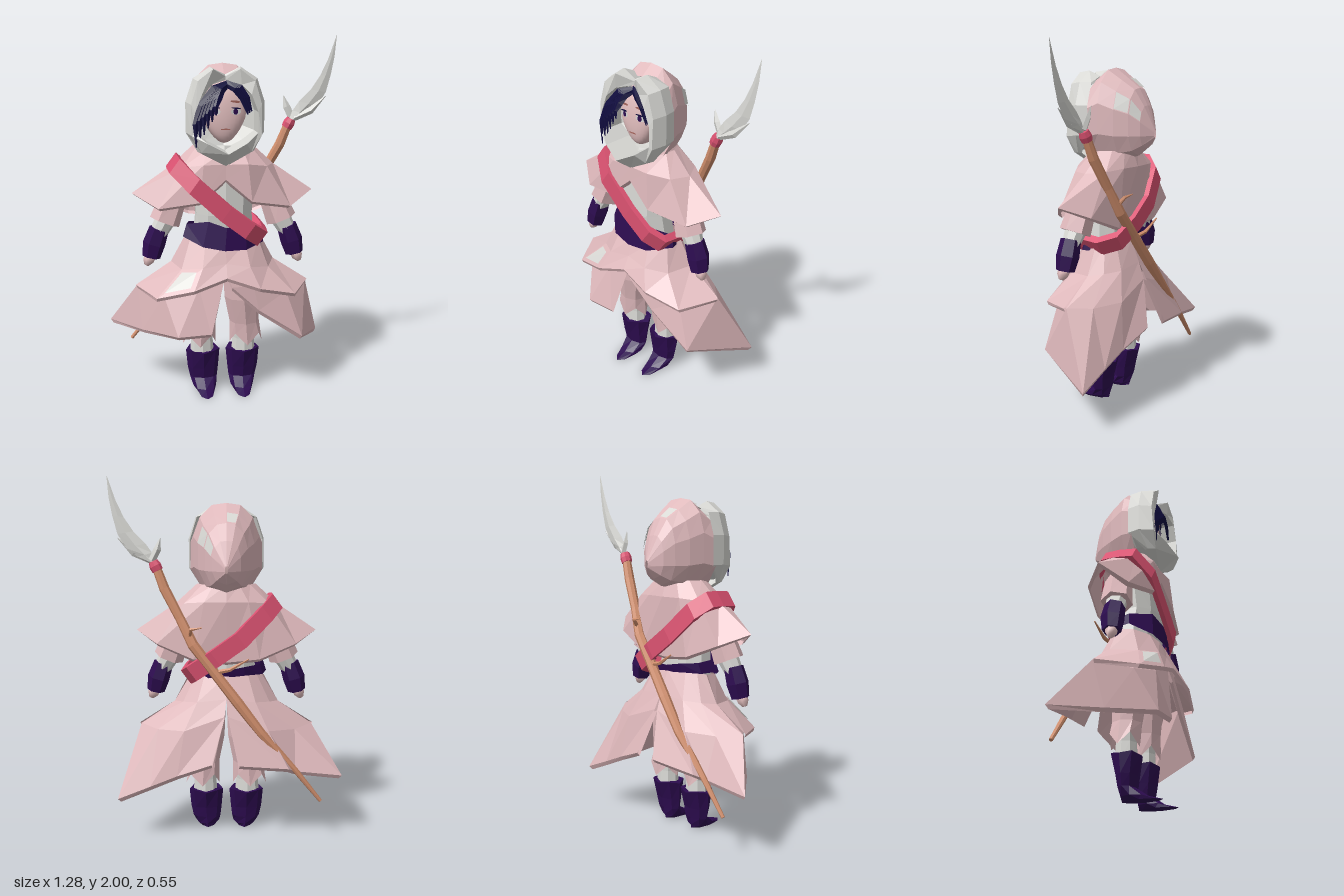
import * as THREE from 'three';

const V = (a) => new THREE.Vector3(...a);
const mat = (name, color, flatShading = true) => {
  const m = new THREE.MeshStandardMaterial({ color, flatShading, side: THREE.DoubleSide });
  m.name = name;
  return m;
};

// Surface through rows of points; closed joins each row end to start, cap fills both ends
function loft(rows, { closed = true, cap = false } = {}) {
  const n = rows[0].length, pos = rows.flat(2), idx = [];
  for (let i = 0; i < rows.length - 1; i++)
    for (let j = 0; j < (closed ? n : n - 1); j++) {
      const a = i * n + j, b = i * n + (j + 1) % n;
      idx.push(a, b, a + n, b, b + n, a + n);
    }
  if (cap) for (let j = 1; j < n - 1; j++) {
    const e = (rows.length - 1) * n;
    idx.push(0, j + 1, j, e, e + j, e + j + 1);
  }
  const g = new THREE.BufferGeometry();
  g.setAttribute('position', new THREE.Float32BufferAttribute(pos, 3));
  g.setIndex(idx);
  g.computeVertexNormals();
  return g;
}

// Mirroring: a half row, a full ring, and an open row from side to side
const flip = (r) => r.map(([x, y, z]) => [-x, y, z]);
const both = (half) => [...half, ...flip(half.slice(1, -1)).reverse()];
const across = (half) => [...flip(half.slice(1)).reverse(), ...half];

const ellipse = (cx, y, cz, rx, rz, n = 8, jag = 0) => Array.from({ length: n }, (_, i) => {
  const a = (i / n) * Math.PI * 2;
  return [cx + rx * Math.sin(a), y + (i % 2) * jag, cz + rz * Math.cos(a)];
});

// Tapered limb along points [x, y, z, radius]
function limb(pts, n = 6, flat = 1) {
  const rows = pts.map((p, i) => {
    const a = V(pts[Math.max(0, i - 1)].slice(0, 3)), b = V(pts[Math.min(pts.length - 1, i + 1)].slice(0, 3));
    const t = b.sub(a).normalize(), s = t.clone().cross(V([0, 0, 1])).normalize(), u = s.clone().cross(t);
    return Array.from({ length: n }, (_, k) => {
      const w = (k / n) * Math.PI * 2;
      return V(p.slice(0, 3)).addScaledVector(s, p[3] * Math.cos(w))
        .addScaledVector(u, p[3] * flat * Math.sin(w)).toArray();
    });
  });
  return loft(rows, { cap: true });
}

// Thin plate just above one cell of a loft
function plate(rows, i, j, inset) {
  const n = rows[0].length, k = (j + 1) % n;
  const c = [rows[i][j], rows[i][k], rows[i + 1][k], rows[i + 1][j]].map(V);
  const mid = c.reduce((s, p) => s.add(p), new THREE.Vector3()).multiplyScalar(0.25);
  const nor = c[2].clone().sub(c[0]).cross(c[3].clone().sub(c[1])).normalize();
  if (nor.x * mid.x + nor.z * mid.z < 0) nor.negate();
  const q = c.map((p) => p.lerp(mid, inset).addScaledVector(nor, 0.008).toArray());
  return loft([[q[0], q[1]], [q[3], q[2]]], { closed: false });
}

export function createModel() {
  const root = new THREE.Group();
  const pink = mat('dusty pink cloth', 0xdfb9bc), white = mat('off white', 0xd9d9d5);
  const purple = mat('deep purple leather', 0x2d0c50), red = mat('rose strap', 0xdb5271);
  const wood = mat('wood', 0xd08e6c), hair = mat('midnight hair', 0x0f0b3e);
  const skin = mat('skin', 0xeec8c8, false), lip = mat('brown line', 0xa8685f);
  const add = (name, geo, m) => {
    const o = new THREE.Mesh(geo, m);
    o.name = name;
    root.add(o);
  };

  // Legs, boots and arms
  for (const s of [1, -1]) {
    const side = s > 0 ? 'left' : 'right';
    add(side + 'Boot', loft([
      ellipse(s * .115, .23, .01, .097, .082, 8, .012), ellipse(s * .115, .13, .015, .088, .055),
      ellipse(s * .112, .07, .015, .078, .045), ellipse(s * .108, .025, .05, .066, .075),
      ellipse(s * .105, .004, .09, .045, .11)], { cap: true }), purple);
    add(side + 'Legging', loft([ellipse(s * .12, .4, .01, .07, .06), ellipse(s * .12, .3, .01, .062, .055),
      ellipse(s * .12, .2, .01, .07, .06)]), white);
    add(side + 'Trouser', loft([ellipse(s * .1, .8, .02, .1, .1), ellipse(s * .11, .55, .02, .1, .1),
      ellipse(s * .125, .4, .015, .085, .08), ellipse(s * .135, .27, .01, .095, .08, 8, .065)]), pink);
    add(side + 'Sleeve', limb([[s * .17, 1.27, .02, .06], [s * .27, 1.14, .03, .075], [s * .325, 1.0, .045, .085]]), pink);
    add(side + 'Cuff', limb([[s * .31, 1.03, .04, .06], [s * .365, .93, .05, .048]], 8), white);
    add(side + 'Glove', limb([[s * .355, .965, .05, .055], [s * .385, .88, .05, .062], [s * .402, .805, .055, .05]]), purple);
    add(side + 'Hand', limb([[s * .405, .82, .055, .034], [s * .418, .785, .06, .03], [s * .43, .762, .06, .014]]), skin);
  }

  // Torso and belt, which sits a little lower on one side
  add('shirt', loft([ellipse(0, .86, .03, .18, .11, 10), ellipse(0, 1.05, .045, .16, .12, 10),
    ellipse(0, 1.25, .03, .18, .125, 10), ellipse(0, 1.42, .02, .08, .08, 10)], { cap: true }), white);
  add('belt', loft([
    both([[0, .86, .185], [.12, .87, .165], [.225, .9, .07], [.2, .9, -.04], [.1, .91, -.09], [0, .91, -.1]]),
    both([[0, .985, .17], [.1, 1.01, .15], [.21, .97, .06], [.19, .96, -.05], [.1, .96, -.1], [0, .95, -.11]])])
    .translate(0, -.93, 0).rotateZ(-.09).translate(0, .93, 0), purple);

  // Split long coat, one thick-hemmed panel each side, with a short tier over the front
  const waist = [[0, .88, .14], [.1, .88, .13], [.18, .89, .08], [.2, .91, 0], [.17, .915, -.04], [.12, .92, -.08], [0, .92, -.1]];
  const hip = [[0, .79, .16], [.12, .77, .17], [.22, .76, .1], [.29, .76, -.01], [.24, .77, -.08], [.16, .78, -.14], [0, .8, -.15]];
  const knee = [[.01, .71, .2], [.15, .66, .19], [.34, .61, .15], [.48, .63, -.01], [.38, .62, -.11], [.23, .63, -.19], [.01, .71, -.19]];
  const leftHem = [[.03, .66, .21], [.18, .52, .2], [.43, .35, .18], [.6, .245, -.2],
    [.42, .32, -.21], [.27, .385, -.225], [.08, .46, -.26]];
  const rightHem = [[-.09, .41, .25], [-.27, .4, .25], [-.46, .38, .05], [-.64, .37, -.17],
    [-.38, .4, -.185], [-.34, .43, -.24], [-.07, .46, -.28]];
  const lip2 = (r) => r.map(([x, y, z]) => [x * .975, y - .02, z * .94]);
  const inside = (r) => r.map(([x, y, z]) => [x * .92, y - .01, z * .9]);
  add('coatLeftPanel', loft([waist, hip, knee, leftHem, lip2(leftHem), inside(knee)], { closed: false }), pink);
  add('coatRightPanel', loft([flip(waist), flip(hip), flip(knee), rightHem, lip2(rightHem), inside(flip(knee))],
    { closed: false }), pink);
  const tier = [across([[0, .89, .15], [.11, .89, .14], [.19, .9, .08], [.21, .91, 0]]),
    across([[0, .79, .19], [.13, .77, .2], [.24, .75, .13], [.29, .76, -.01]]),
    across([[0, .72, .23], [.18, .66, .25], [.38, .61, .2], [.49, .63, 0]]),
    across([[0, .7, .22], [.18, .64, .24], [.38, .59, .19], [.48, .61, 0]])];
  add('coatUpperTier', loft(tier, { closed: false }), pink);
  add('coatPatch', plate(tier, 1, 1, .3), white);

  // Shoulder cape, longer at the back
  add('cape', loft([
    both([[0, 1.4, .13], [.1, 1.4, .11], [.15, 1.41, .05], [.16, 1.42, 0], [.13, 1.42, -.06], [.07, 1.42, -.1], [0, 1.42, -.11]]),
    both([[0, 1.33, .165], [.12, 1.33, .17], [.23, 1.31, .11], [.28, 1.31, .01], [.23, 1.32, -.09], [.12, 1.33, -.13], [0, 1.33, -.14]]),
    both([[0, 1.25, .17], [.14, 1.13, .185], [.36, 1.09, .13], [.5, 1.16, .02], [.38, 1.1, -.1], [.18, 1.02, -.14], [0, 1.0, -.13]]),
    both([[0, 1.23, .15], [.14, 1.115, .165], [.35, 1.075, .11], [.48, 1.145, .02], [.37, 1.085, -.09], [.18, 1.005, -.125], [0, .985, -.115]]),
  ]), pink);

  // Diagonal strap looping over one shoulder and under the other arm
  const loop = [[-.28, 1.33, .02], [-.27, 1.32, .12], [-.17, 1.22, .19], [0, 1.065, .195], [.13, .965, .19], [.205, .91, .14],
    [.225, .9, -.04], [.19, .94, -.15], [.06, 1.03, -.18], [-.08, 1.13, -.18], [-.22, 1.27, -.14], [-.28, 1.33, -.06]];
  const strap = loop.map(([x, y, z]) => {
    const r = [[.028, .038, 1], [-.028, -.038, 1], [-.028, -.038, .86], [.028, .038, .86]];
    return r.map(([dx, dy, k]) => [x * k + dx, 1.1 + (y - 1.1) * k + dy, z * k]);
  });
  add('strap', loft([...strap, strap[0]]), red);

  // Hood, narrowing to a point at the back
  const opening = [[0, 1.82], [.09, 1.81], [.17, 1.75], [.21, 1.65], [.21, 1.5], [.15, 1.4], [0, 1.36]];
  const hood = [[.07, .95, 1.8, 1.36], [0, .85, 1.855, 1.36], [-.08, .72, 1.8, 1.37], [-.15, .54, 1.75, 1.39],
    [-.2, .36, 1.66, 1.43], [-.25, .04, 1.53, 1.49]].map(([z, sx, top, low]) =>
    both(opening.map(([x, y]) => [x * sx, low + (top - low) * (y - 1.36) / .46, z])));
  add('hood', loft(hood), pink);
  [[2, 2], [3, 2], [2, 11]].forEach(([i, j]) => add('hoodPatch', plate(hood, i, j, .08), white));

  // Thick faceted hood lining with a pointed collar, closed behind the head
  const rimZ = [.13, .19, .19, .19, .2, .19, .16];
  const innerZ = [.13, .18, .2, .2, .2, .24, .27];
  const outer = [[0, 1.8], [.08, 1.84], [.17, 1.78], [.21, 1.66], [.21, 1.5], [.15, 1.4], [0, 1.32]];
  const inner = [[0, 1.77], [.08, 1.75], [.13, 1.7], [.165, 1.61], [.165, 1.5], [.1, 1.45], [0, 1.4]];
  add('hoodLining', loft([
    both(outer.map(([x, y], i) => [x * .95, y - (i < 2 ? .03 : 0), i > 4 ? .13 : .05])),
    both(outer.map(([x, y], i) => [x, y, i > 4 ? .15 : .12])),
    both(outer.map(([x, y], i) => [x * .88, i < 5 ? y - .01 : y, rimZ[i]])),
    both(inner.map(([x, y], i) => [x, y, innerZ[i]])),
    both(inner.map(([x, y]) => [x, y, .06])),
    both(inner.map(([x, y]) => [x * .5, 1.58 + (y - 1.58) * .6, .02]))]), white);

  // Head with a flattened face and tapered chin
  const taper = (y) => 1 - .3 * Math.max(0, (1.58 - y) / .16);
  const head = new THREE.SphereGeometry(1, 28, 20);
  const hp = head.attributes.position;
  for (let i = 0; i < hp.count; i++) {
    const y = 1.6 + .165 * hp.getY(i), z = hp.getZ(i);
    hp.setXYZ(i, .118 * hp.getX(i) * taper(y), y, .03 + .115 * Math.sign(z) * Math.abs(z) ** .36);
  }
  head.computeVertexNormals();
  add('head', head, skin);
  const faceZ = (x, y) => .03 + .115 * Math.max(0, 1 - (x / taper(y) / .118) ** 2 - ((y - 1.6) / .165) ** 2) ** .18;
  const mark = (name, x, y, rx, ry, lift, m, tilt = 0) => {
    const g = new THREE.CircleGeometry(1, 14).scale(rx, ry, 1).rotateZ(tilt);
    g.rotateY(x * 4).translate(x, y, faceZ(x, y) + lift);
    add(name, g, m);
  };
  for (const s of [1, -1]) {
    mark('eyeWhite', s * .055, 1.608, .028, .017, .005, white);
    mark('iris', s * .053, 1.608, .013, .016, .007, purple);
    mark('lash', s * .056, 1.626, .028, .004, .008, hair, -s * .12);
    mark('brow', s * .052, 1.66, .028, .006, .006, lip, -s * .12);
  }
  mark('mouth', 0, 1.515, .026, .004, .006, lip);

  // Hair cap and swept fringe strands
  add('hairCap', new THREE.SphereGeometry(1, 14, 8, 0, Math.PI * 2, 0, 1.7).scale(.125, .17, .12)
    .rotateX(-.55).translate(0, 1.6, .02), hair);
  for (let i = 0; i < 6; i++) {
    const x = -.165 + i * .021, low = 1.43 + i * .033;
    add('fringeStrand', limb([[.015, 1.755, .14, .016], [-.06 + i * .006, 1.725, .172, .026],
      [x * .8, 1.64 + i * .008, .192, .024], [x, 1.55 + i * .018, .208, .015], [x + .004, low, .208, .003]], 4, .4), hair);
  }
  for (let i = 0; i < 3; i++)
    add('sideStrand', limb([[0, 1.755, .14, .018], [.05 + i * .01, 1.73, .165, .022],
      [.085 + i * .012, 1.68, .167, .016], [.115 + i * .01, 1.595 + i * .008, .165, .004]], 4, .4), hair);

  // Polearm carried across the back
  add('shaft', limb([[.38, 1.52, -.07, .024], [.335, 1.4, -.085, .028], [.25, 1.24, -.115, .026], [.18, 1.1, -.145, .03],
    [.08, .97, -.16, .028], [-.06, .79, -.18, .03], [-.19, .62, -.195, .026], [-.38, .41, -.2, .016],
    [-.52, .235, -.2, .01]], 8), wood);
  add('upperTwig', limb([[.2, 1.14, -.14, .013], [.19, 1.19, -.18, .01], [.13, 1.2, -.19, .003]], 5), wood);
  add('lowerTwig', limb([[.06, .95, -.16, .014], [-.02, .97, -.18, .011], [-.12, 1.03, -.19, .004]], 5), wood);
  add('shaftBinding', limb([[.37, 1.495, -.072, .03], [.383, 1.52, -.07, .033], [.395, 1.545, -.067, .026]], 8), red);
  // Left and right edge of the curved blade from root to tip
  const edges = [[.38, 1.54, .42, 1.535], [.4, 1.59, .48, 1.57], [.435, 1.64, .54, 1.615], [.5, 1.705, .585, 1.69],
    [.55, 1.78, .61, 1.785], [.592, 1.87, .628, 1.885], [.636, 2, .637, 2]];
  add('blade', loft(edges.map(([a, b, c, d], i) => {
    const x = (a + c) / 2, y = (b + d) / 2, t = .016 * (1 - i / 6), z = -.062 + i * .002;
    return [[a, b, z], [x, y, z + t], [c, d, z], [x, y, z - t]];
  }), { cap: true }), white);
  add('leftProng', limb([[.41, 1.55, -.055, .018], [.5, 1.59, -.05, .02], [.585, 1.67, -.055, .002]], 4, .6), white);
  add('rightProng', limb([[.4, 1.55, -.075, .02], [.37, 1.61, -.08, .02], [.353, 1.67, -.085, .002]], 4, .6), white);

  return root;
}
